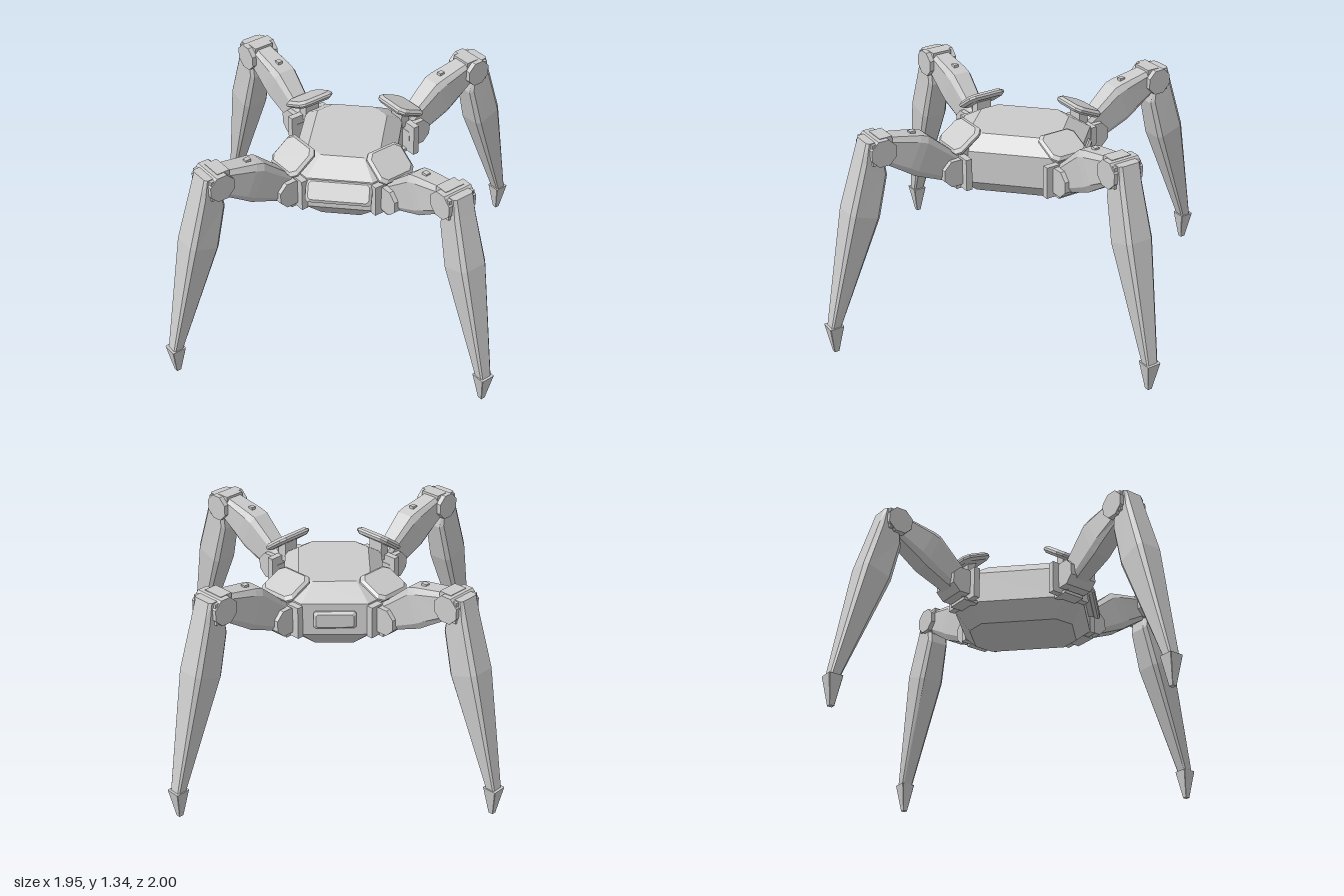
import * as THREE from 'three';

const material = new THREE.MeshStandardMaterial({ color: 0xcccccc, flatShading: true, roughness: 0.8 });

function add(parent, name, geometry, x = 0, y = 0, z = 0) {
  const mesh = new THREE.Mesh(geometry, material);
  mesh.name = name;
  mesh.position.set(x, y, z);
  parent.add(mesh);
  return mesh;
}

// Closed skin over loops of equal length, with flat caps
function loft(loops) {
  const n = loops[0].length, tris = [];
  for (let k = 0; k + 1 < loops.length; k++) {
    for (let i = 0; i < n; i++) {
      const j = (i + 1) % n, a = loops[k], b = loops[k + 1];
      tris.push([a[i], a[j], b[j]], [a[i], b[j], b[i]]);
    }
  }
  const last = loops[loops.length - 1];
  for (let i = 1; i + 1 < n; i++) {
    tris.push([loops[0][0], loops[0][i + 1], loops[0][i]], [last[0], last[i], last[i + 1]]);
  }
  // Signed volume tells whether the corners run the right way round
  let volume = 0;
  const origin = loops[0][0], d = (p) => p.clone().sub(origin);
  for (const [a, b, c] of tris) volume += d(a).dot(d(b).cross(d(c)));
  const points = tris.flatMap(([a, b, c]) => (volume > 0 ? [a, b, c] : [a, c, b]));
  const geometry = new THREE.BufferGeometry().setFromPoints(points);
  geometry.computeVertexNormals();
  return geometry;
}

// Rectangle with cut corners, lying at height y
function cutRect(hx, hz, c, y) {
  return [[hx, hz - c], [hx - c, hz], [c - hx, hz], [-hx, hz - c],
    [-hx, c - hz], [c - hx, -hz], [hx - c, -hz], [hx, c - hz]]
    .map(([x, z]) => new THREE.Vector3(x, y, z));
}

// Flat plate with cut corners and a bevelled rim
function plate(hx, hz, c, t) {
  const b = t * 0.35;
  return loft([cutRect(hx - b, hz - b, c, -t / 2), cutRect(hx, hz, c, -t / 2 + b),
    cutRect(hx, hz, c, t / 2 - b), cutRect(hx - b, hz - b, c, t / 2)]);
}

// Limb section between an outer and an inner point, half width w, cut corners
function section([ox, oy], [ix, iy], w, c = 0.3) {
  return cutRect(1, 1, c, 0).map((p) => new THREE.Vector3(
    (ox + ix) / 2 + p.x * (ox - ix) / 2, (oy + iy) / 2 + p.x * (oy - iy) / 2, p.z * w));
}

// Eight-sided pivot lying across the limb
function pivot(r, length) {
  return new THREE.CylinderGeometry(r, r, length, 8).rotateY(Math.PI / 8).rotateX(Math.PI / 2);
}

// One leg, running out along +x
function createLeg(padTilt) {
  const leg = new THREE.Group();
  const box = (x, y, z) => new THREE.BoxGeometry(x, y, z);

  // Hip
  add(leg, 'hipMount', box(0.04, 0.2, 0.27), 0.42, 0.99, 0);
  add(leg, 'hipTab', box(0.1, 0.02, 0.14), 0.42, 0.895, 0);
  add(leg, 'hipPivot', pivot(0.088, 0.185), 0.48, 1.0, 0);

  // Shoulder pad on its post
  add(leg, 'padPost', box(0.06, 0.13, 0.1), 0.4, 1.12, 0);
  add(leg, 'shoulderPad', plate(0.105, 0.125, 0.03, 0.045), 0.4, 1.185, 0).rotation.z = -padTilt;

  // Thigh
  add(leg, 'thigh', loft([
    section([0.4, 1.06], [0.45, 0.91], 0.055),
    section([0.64, 1.27], [0.74, 1.04], 0.078),
    section([0.69, 1.285], [0.79, 1.075], 0.078),
    section([0.92, 1.33], [0.95, 1.18], 0.065),
  ]));
  add(leg, 'thighPeg', box(0.035, 0.04, 0.03), 0.72, 1.285, 0);

  // Knee
  add(leg, 'kneePivot', pivot(0.085, 0.195), 0.95, 1.255, 0);
  add(leg, 'kneeCap', box(0.08, 0.05, 0.13), 0.92, 1.312, 0);
  add(leg, 'kneeBracket', box(0.06, 0.13, 0.18), 0.99, 1.255, 0);

  // Shin, widest a third of the way down, and its pointed foot
  add(leg, 'shin', loft([
    section([1.04, 1.325], [0.95, 1.325], 0.07, 0.25),
    section([1.072, 1.22], [0.92, 1.1], 0.075, 0.25),
    section([1.17, 0.91], [0.985, 0.845], 0.088, 0.25),
    section([1.32, 0.18], [1.255, 0.18], 0.038, 0.25),
  ]));
  add(leg, 'foot', loft([
    section([1.335, 0.18], [1.245, 0.18], 0.045, 0.08),
    section([1.305, 0], [1.275, 0], 0.014, 0.08),
  ]));
  return leg;
}

export function createModel() {
  const model = new THREE.Group();
  model.name = 'fourLeggedWalker';

  // Hull with sloped belly and roof
  add(model, 'body', loft([
    cutRect(0.205, 0.32, 0.09, 0.8),
    cutRect(0.305, 0.4, 0.105, 0.9),
    cutRect(0.3, 0.395, 0.105, 1.1),
    cutRect(0.213, 0.272, 0.085, 1.185),
  ]));

  // Sloped front plate and upright rear panel
  add(model, 'frontPlate', plate(0.195, 0.07, 0.015, 0.045), 0, 1.032, 0.42).rotation.x = 0.95;
  add(model, 'frontPlateMount', new THREE.BoxGeometry(0.3, 0.07, 0.06), 0, 1.01, 0.4);
  add(model, 'rearPanel', plate(0.125, 0.055, 0.012, 0.04), 0, 1.0, -0.4).rotation.x = -Math.PI / 2;

  // Four legs on the diagonals
  for (const sx of [1, -1]) {
    for (const sz of [1, -1]) {
      const leg = createLeg(sz > 0 ? 0.62 : 0.42);
      leg.name = (sz > 0 ? 'front' : 'back') + (sx > 0 ? 'Left' : 'Right') + 'Leg';
      leg.position.z = 0.025 * sz;
      leg.rotation.y = -Math.atan2(sz, sx);
      model.add(leg);
    }
  }
  return model;
}
